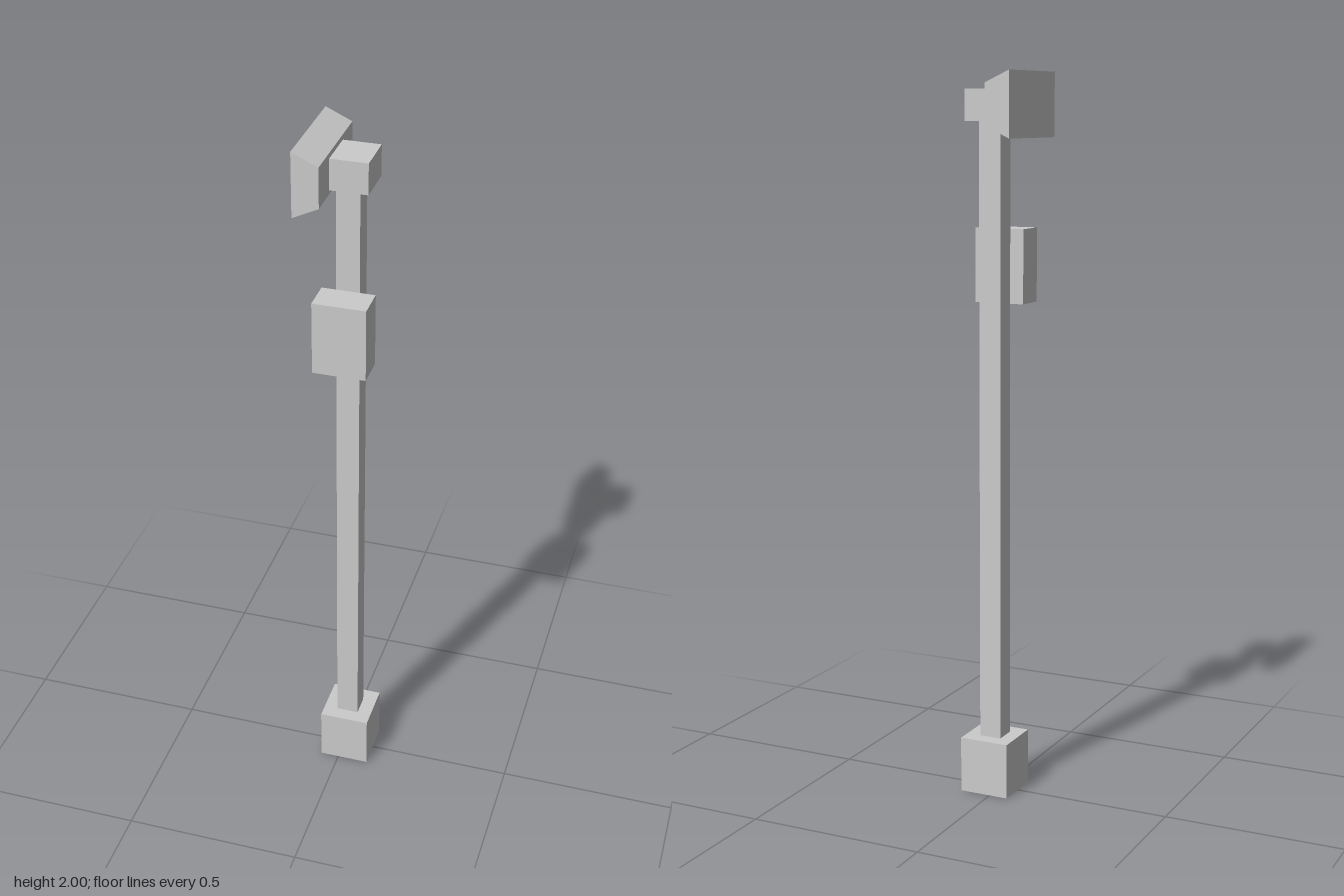
import * as THREE from 'three';

const material = new THREE.MeshStandardMaterial({ color: 0xcccccc, flatShading: true, side: THREE.DoubleSide });

// Box given by its extents along each axis
function box(name, [x0, x1], [y0, y1], [z0, z1]) {
  const geometry = new THREE.BoxGeometry(x1 - x0, y1 - y0, z1 - z0);
  const mesh = new THREE.Mesh(geometry, material);
  mesh.position.set((x0 + x1) / 2, (y0 + y1) / 2, (z0 + z1) / 2);
  mesh.name = name;
  return mesh;
}

export function createModel() {
  const group = new THREE.Group();
  group.name = 'signalPost';

  // Base block, open underneath: drop the six indices of the bottom face
  const base = box('base', [-0.053, 0.089], [0, 0.157], [-0.072, 0.07]);
  const index = Array.from(base.geometry.index.array);
  index.splice(18, 6);
  base.geometry.setIndex(index);
  base.geometry.clearGroups();
  group.add(base);

  // Square pole with a control box on its front and a block on top
  group.add(box('pole', [-0.014, 0.049], [0.157, 1.87], [-0.031, 0.031]));
  group.add(box('controlBox', [-0.053, 0.091], [1.38, 1.583], [0.031, 0.119]));
  group.add(box('headBlock', [-0.023, 0.077], [1.87, 1.954], [-0.06, 0.057]));

  // Flared head: trapezoid section, widening away from the block
  const section = new THREE.Shape([
    new THREE.Vector2(-0.093, 1.826),
    new THREE.Vector2(-0.023, 1.86),
    new THREE.Vector2(-0.023, 1.968),
    new THREE.Vector2(-0.093, 2.0),
  ]);
  const depth = 0.287;
  const head = new THREE.Mesh(new THREE.ExtrudeGeometry(section, { depth, bevelEnabled: false }), material);
  head.position.z = -depth / 2;
  head.name = 'flaredHead';
  group.add(head);

  return group;
}
